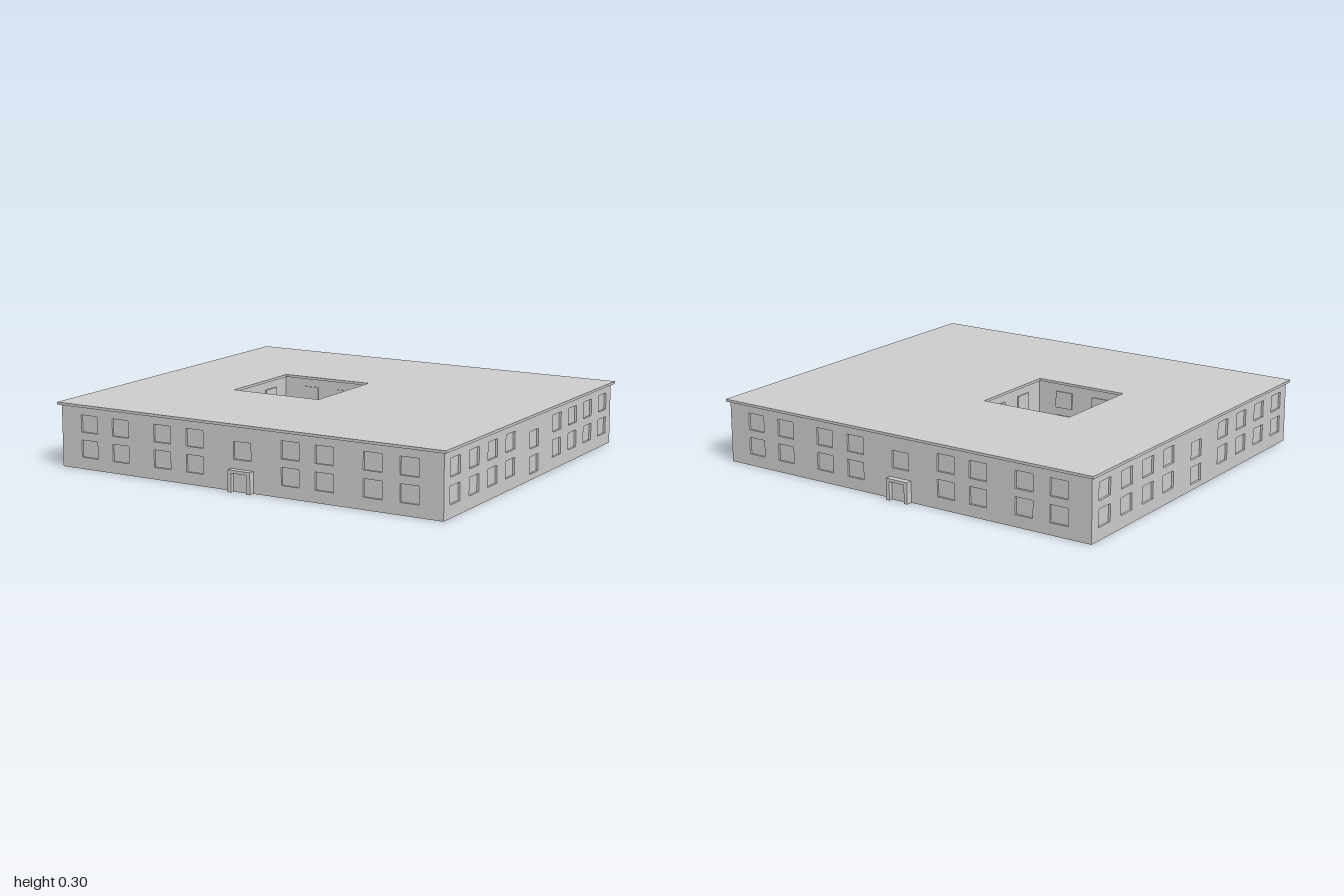
import * as THREE from 'three';

const HX = 0.985, HZ = 0.87;            // outer wall planes
const TOP = 0.302, EAVE = 0.29;         // roof top and underside
const COURT = { x0: -0.465, x1: 0, z0: -0.235, z1: 0.23 };
const W = 0.09, H = 0.08;               // window size
const DOOR = { w: 0.116, h: 0.1, ow: 0.08, oh: 0.086, depth: 0.03 };

const mat = new THREE.MeshStandardMaterial({ color: 0xcccccc, side: THREE.DoubleSide, flatShading: true });

function add(parent, name, geometry, x = 0, y = 0, z = 0) {
  const m = new THREE.Mesh(geometry, mat);
  m.name = name;
  m.position.set(x, y, z);
  parent.add(m);
  return m;
}

function rectPath(target, x0, y0, x1, y1) {
  target.moveTo(x0, y0);
  target.lineTo(x1, y0);
  target.lineTo(x1, y1);
  target.lineTo(x0, y1);
  target.closePath();
  return target;
}

// Box without the listed faces (0 +x, 1 -x, 2 +y, 3 -y, 4 +z, 5 -z)
function openBox(w, h, d, missing) {
  const g = new THREE.BoxGeometry(w, h, d);
  const index = Array.from(g.index.array);
  g.setIndex(index.filter((_, i) => !missing.includes(Math.floor(i / 6))));
  g.clearGroups();
  return g;
}

// Hollow door surround with a recessed door, projecting from the wall plane z = 0
function portal() {
  const { w, h, ow, oh, depth } = DOOR;
  const g = new THREE.Group();
  g.name = 'entrance';
  add(g, 'portalShell', openBox(w, h, depth, [3, 4, 5]), 0, h / 2, depth / 2);
  const s = new THREE.Shape();
  [[-w / 2, 0], [-ow / 2, 0], [-ow / 2, oh], [ow / 2, oh], [ow / 2, 0], [w / 2, 0], [w / 2, h], [-w / 2, h]]
    .forEach(([x, y], i) => (i ? s.lineTo(x, y) : s.moveTo(x, y)));
  add(g, 'portalFrame', new THREE.ShapeGeometry(s), 0, 0, depth);
  add(g, 'recessedDoor', openBox(ow, oh, 0.02, [3, 4]), 0, oh / 2, depth - 0.01);
  return g;
}

// Wall sheet facing +z with windows recessed into it
function outerWall(name, half, windows, hasDoor) {
  const g = new THREE.Group();
  g.name = name;
  const shape = new THREE.Shape();
  if (hasDoor) {
    const d = DOOR.w / 2;
    [[-half, 0], [-d, 0], [-d, DOOR.h], [d, DOOR.h], [d, 0], [half, 0], [half, EAVE], [-half, EAVE]]
      .forEach(([x, y], i) => (i ? shape.lineTo(x, y) : shape.moveTo(x, y)));
    g.add(portal());
  } else rectPath(shape, -half, 0, half, EAVE);
  const depth = 0.01;
  for (const [x, y] of windows) {
    shape.holes.push(rectPath(new THREE.Path(), x - W / 2, y - H / 2, x + W / 2, y + H / 2));
    add(g, 'window', openBox(W, H, depth, [4]), x, y, -depth / 2);
  }
  add(g, 'wallSheet', new THREE.ShapeGeometry(shape));
  return g;
}

// Two rows of windows at the given columns
const rows = (cols, ys) => cols.flatMap(c => ys.map(y => [c, y]));

export function createModel() {
  const model = new THREE.Group();
  model.name = 'courtyardBuilding';

  // Roof slab with the courtyard opening
  const roof = rectPath(new THREE.Shape(), -1, -0.885, 1, 0.885);
  roof.holes.push(rectPath(new THREE.Path(), COURT.x0, -COURT.z1, COURT.x1, -COURT.z0));
  const slab = new THREE.ExtrudeGeometry(roof, { depth: TOP - EAVE, bevelEnabled: false });
  slab.rotateX(-Math.PI / 2);
  add(model, 'roof', slab, 0, EAVE, 0);

  // Front and back walls with doors
  const longWindows = rows([-0.83, -0.655, -0.425, -0.25, 0.245, 0.415, 0.65, 0.825], [0.095, 0.212]);
  longWindows.push([0, 0.182]);
  // Side walls
  const sideWindows = rows([-0.77, -0.595, -0.42, -0.245, 0.245, 0.42, 0.595, 0.77], [0.098, 0.215]);
  sideWindows.push([0, 0.183], [0, 0.068]);
  for (const back of [0, 1]) {
    const end = outerWall(back ? 'backWall' : 'frontWall', HX, longWindows, true);
    end.rotation.y = back * Math.PI;
    end.position.z = back ? -HZ : HZ;
    const side = outerWall(back ? 'rightWall' : 'leftWall', HZ, sideWindows, false);
    side.rotation.y = back ? -Math.PI / 2 : Math.PI / 2;
    side.position.x = back ? -HX : HX;
    model.add(end, side);
  }

  // Courtyard walls, set slightly behind the roof edge, with raised windows
  const lip = 0.01;
  const cx = (COURT.x0 + COURT.x1) / 2, cz = (COURT.z0 + COURT.z1) / 2;
  const hx = (COURT.x1 - COURT.x0) / 2 + lip, hz = (COURT.z1 - COURT.z0) / 2 + lip;
  for (let i = 0; i < 4; i++) {
    const g = new THREE.Group();
    g.name = 'courtyardWall';
    const [half, dist] = i % 2 ? [hz, hx] : [hx, hz];
    add(g, 'wallSheet', new THREE.PlaneGeometry(half * 2, EAVE), 0, EAVE / 2, -dist);
    for (const [x, y] of rows([-0.1, 0.1], [0.095, 0.212])) {
      add(g, 'courtyardWindow', openBox(W, H, 0.006, [5]), x, y, -dist + 0.003);
    }
    g.rotation.y = i * Math.PI / 2;
    g.position.set(cx, 0, cz);
    model.add(g);
  }
  return model;
}
